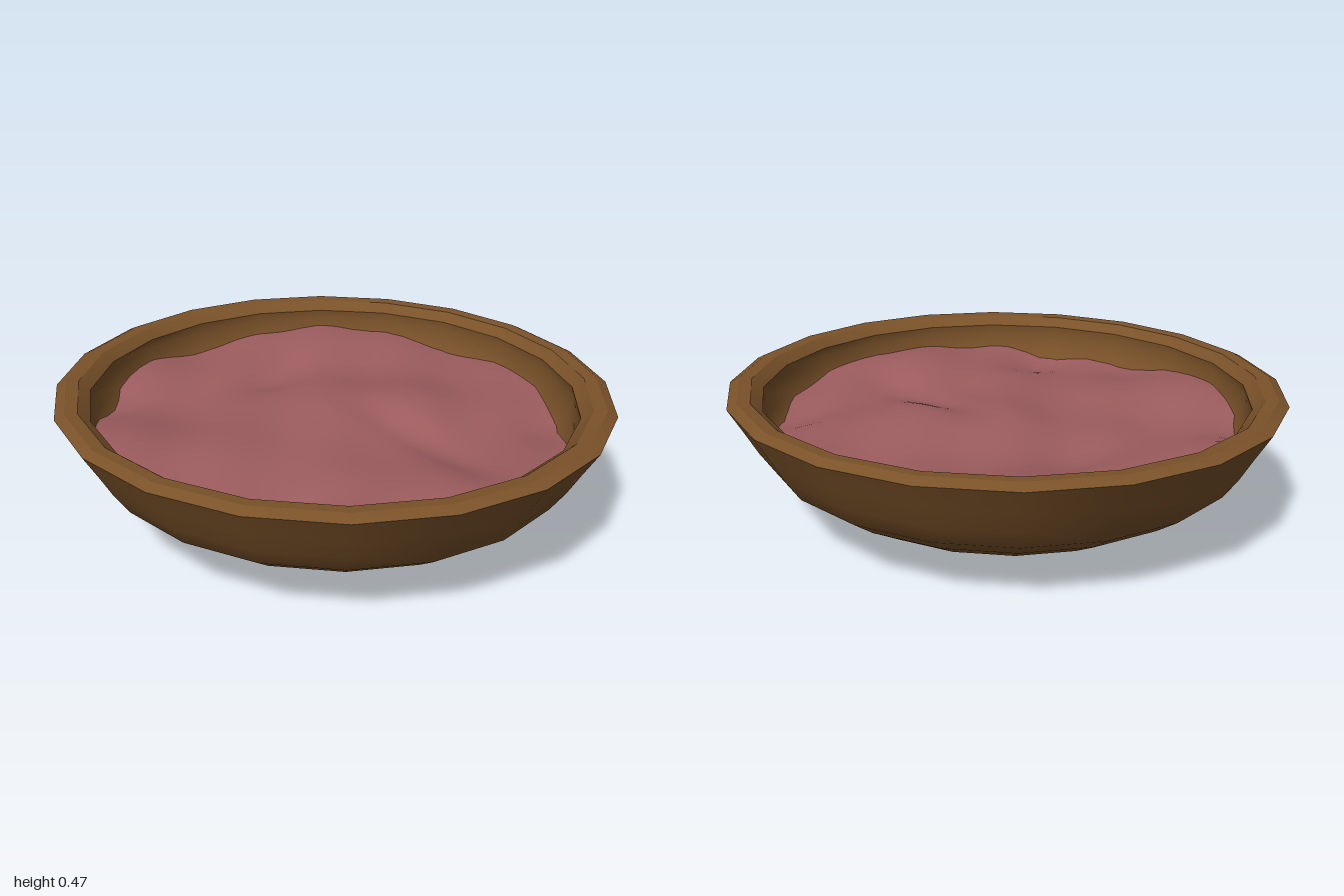
import * as THREE from 'three';
import { toCreasedNormals } from 'three/addons/utils/BufferGeometryUtils.js';

const SIDES = 20;
const OVAL = 0.96; // width relative to depth

const wood = new THREE.MeshStandardMaterial({ color: 0x7a5229, side: THREE.DoubleSide });
const meat = new THREE.MeshStandardMaterial({ color: 0x9c5c5e, side: THREE.DoubleSide });

// One oval ring of the bowl, turned from [radius, height] points
function turned(name, points, crease) {
  let geo = new THREE.LatheGeometry(points.map(([r, y]) => new THREE.Vector2(r, y)), SIDES);
  geo.scale(OVAL, 1, 1);
  if (crease) geo = toCreasedNormals(geo, crease);
  const mesh = new THREE.Mesh(geo, wood);
  mesh.name = name;
  return mesh;
}

// Gentle folds of the filling's top
function fillingHeight(x, z) {
  const dip = (cx, cz, sx, sz, d) =>
    -d * Math.exp(-(((x - cx) / sx) ** 2) - (((z - cz) / sz) ** 2));
  return 0.335
    + 0.012 * Math.sin(5 * x + 2.5 * z + 0.6)
    + 0.012 * Math.sin(8 * z - 2 * x + 1.5)
    + 0.008 * Math.sin(9 * x - 6 * z)
    + 0.006 * Math.sin(15 * x + 11 * z + 2)
    + dip(0.55, 0.5, 0.18, 0.12, 0.035)
    + dip(-0.55, 0.48, 0.2, 0.1, 0.03)
    + dip(0.12, 0.35, 0.08, 0.35, 0.025)
    + dip(0, -0.45, 0.2, 0.1, 0.025)
    + dip(-0.55, -0.6, 0.15, 0.12, 0.025);
}

// Oval disc displaced by the folds; its border sinks into the bowl wall
function createFilling() {
  const geo = new THREE.RingGeometry(0.001, 0.88, 72, 24);
  geo.rotateX(-Math.PI / 2);
  geo.scale(OVAL, 1, 1);
  const p = geo.attributes.position;
  for (let i = 0; i < p.count; i++) p.setY(i, fillingHeight(p.getX(i), p.getZ(i)));
  geo.computeVertexNormals();
  const mesh = new THREE.Mesh(geo, meat);
  mesh.name = 'filling';
  return mesh;
}

export function createModel() {
  const model = new THREE.Group();
  model.name = 'filledBowl';

  const bowl = new THREE.Group();
  bowl.name = 'bowl';
  bowl.add(
    turned('base', [[0, 0.003], [0.37, 0.015]]),
    turned('outerWall', [
      [0.37, 0.015], [0.645, 0.085], [0.77, 0.157], [0.855, 0.217],
      [0.905, 0.29], [0.95, 0.37], [1, 0.455],
    ]),
    turned('rim', [[1, 0.455], [0.965, 0.472], [0.92, 0.468], [0.88, 0.435]], 0.35),
    turned('innerWall', [
      [0.88, 0.435], [0.885, 0.4], [0.87, 0.34], [0.84, 0.29],
      [0.76, 0.21], [0.6, 0.13], [0.36, 0.06], [0, 0.05],
    ]),
  );

  model.add(bowl, createFilling());
  return model;
}
